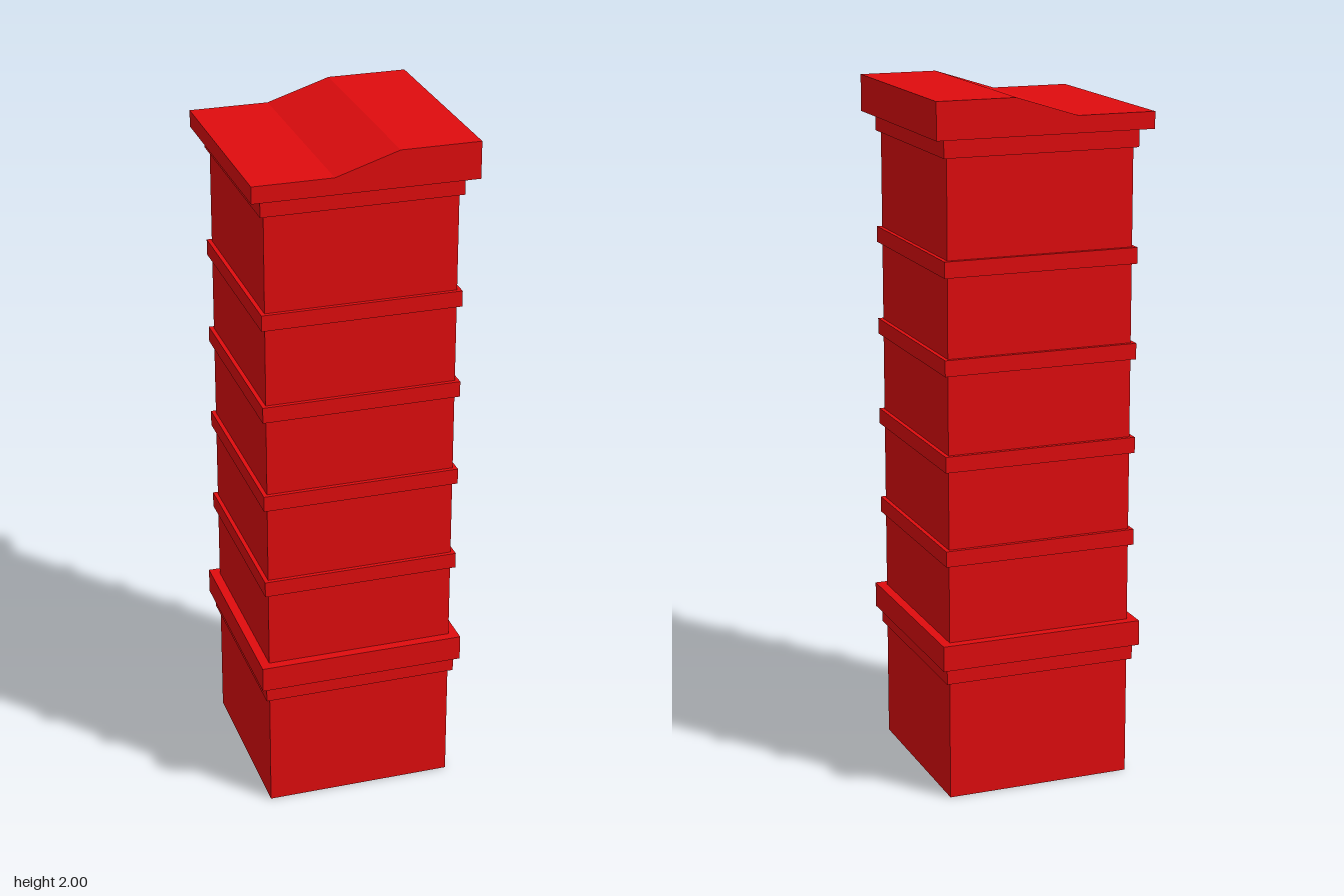
import * as THREE from 'three';

export function createModel() {
  const group = new THREE.Group();
  const material = new THREE.MeshStandardMaterial({ color: 0xe00c0e, flatShading: true });

  // Square block of given half width between two heights
  function block(name, half, y0, y1) {
    const mesh = new THREE.Mesh(new THREE.BoxGeometry(half * 2, y1 - y0, half * 2), material);
    mesh.position.y = (y0 + y1) / 2;
    mesh.name = name;
    group.add(mesh);
  }

  block('shaft', 0.273, 0, 1.895);

  // Base moulding: narrow strip under a wider ledge
  block('baseStrip', 0.285, 0.35, 0.396);
  block('baseLedge', 0.3, 0.396, 0.47);

  // Evenly spaced bands around the shaft
  for (let i = 0; i < 4; i++) {
    const y = 0.721 + i * 0.273;
    block(`band${i + 1}`, 0.285, y - 0.023, y + 0.023);
  }

  block('capStrip', 0.285, 1.842, 1.895);

  // Cap slab with a stepped, sloping top, low on -x and high on +x
  const h = 0.317;
  const profile = new THREE.Shape([
    [-h, 1.895], [h, 1.895], [h, 2], [0.09, 2], [-0.09, 1.943], [-h, 1.943],
  ].map(([x, y]) => new THREE.Vector2(x, y)));
  const capGeometry = new THREE.ExtrudeGeometry(profile, { depth: 2 * h, bevelEnabled: false });
  capGeometry.translate(0, 0, -h);
  const cap = new THREE.Mesh(capGeometry, material);
  cap.name = 'cap';
  group.add(cap);

  return group;
}
